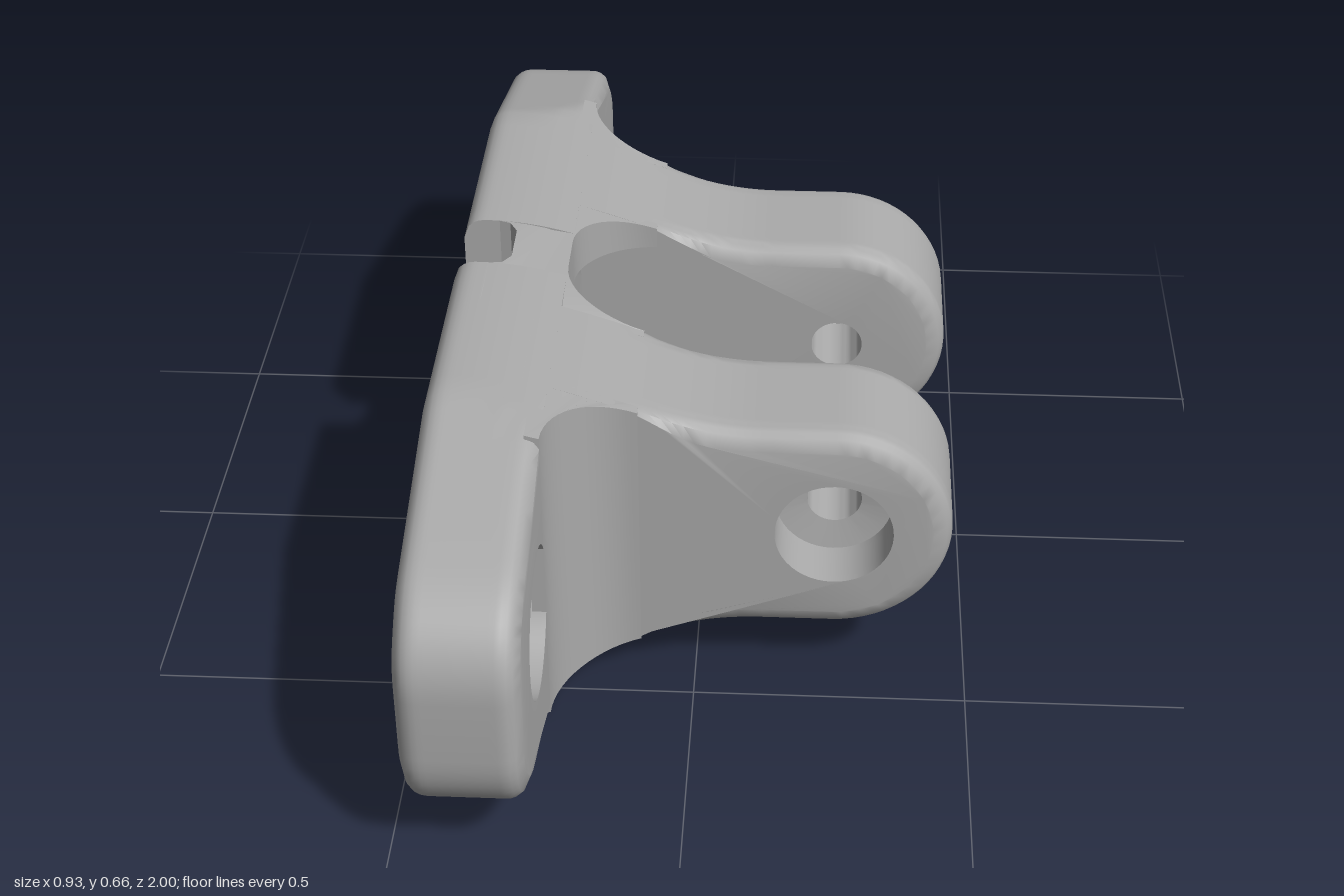
import * as THREE from 'three';
import { toCreasedNormals } from 'three/addons/utils/BufferGeometryUtils.js';

const MID = 0.33;            // height of the symmetry axis
const FRONT = -0.255;        // x of the plate's mounting face
const PLATE = 0.21;          // plate thickness
const ARM_IN = 0.18, ARM_OUT = 0.44;
const EYE = new THREE.Vector2(0.25, 0);     // pivot hole centre (x, y)
const SCREW = new THREE.Vector2(0.71, 0);   // screw hole centre (z, y)

const { smoothstep, lerp, clamp } = THREE.MathUtils;

// Half height of the body along x: tall at the plate, waisted towards the eye
const halfHeight = x =>
  0.213 + 0.117 * (1 + Math.cos(Math.PI * clamp((x + 0.42) / 0.54, 0, 1))) / 2;

// How far a rounded edge of radius r draws in at distance d from the face
const rounding = (d, r) => (d < r ? r - Math.sqrt(r * r - (r - d) ** 2) : 0);

// Extrude a shape in thin steps, then move every vertex by a rule
function sculpt(shape, depth, steps, rule) {
  const geo = new THREE.ExtrudeGeometry(shape, { depth, steps, bevelEnabled: false, curveSegments: 10 });
  const pos = geo.attributes.position;
  const p = new THREE.Vector3();
  for (let i = 0; i < pos.count; i++) {
    rule(p.fromBufferAttribute(pos, i));
    pos.setXYZ(i, p.x, p.y, p.z);
  }
  return geo;
}

function ring(center, radius, count = 48) {
  const pts = [];
  for (let i = 0; i < count; i++) {
    const a = (i / count) * Math.PI * 2;
    pts.push(new THREE.Vector2(center.x + radius * Math.cos(a), center.y + radius * Math.sin(a)));
  }
  return new THREE.Path(pts);
}

function setRadius(p, center, radius) {
  const a = Math.atan2(p.y - center.y, p.x - center.x);
  const r = typeof radius === 'function' ? radius(a) : radius;
  p.x = center.x + r * Math.cos(a);
  p.y = center.y + r * Math.sin(a);
}

// Radius of a hexagon with a corner pointing up
const hexRadius = a => {
  const sector = Math.PI / 3;
  const t = (((a - Math.PI / 2) % sector) + sector) % sector;
  return 0.115 * Math.cos(sector / 2) / Math.cos(t - sector / 2);
};

// Half of the mounting plate, with a notch for the window and a screw hole
function plateGeometry() {
  const upper = [];
  for (let i = 0; i <= 8; i++) upper.push(new THREE.Vector2(lerp(0.075, 0.5, i / 8), 0.33));
  for (let i = 1; i < 10; i++) upper.push(new THREE.Vector2(lerp(0.5, 0.84, i / 10), lerp(0.33, 0.24, i / 10)));
  const corner = new THREE.QuadraticBezierCurve(
    new THREE.Vector2(0.84, 0.24), new THREE.Vector2(1, 0.2), new THREE.Vector2(1, 0.06));
  upper.push(...corner.getPoints(12));
  const lower = upper.map(p => new THREE.Vector2(p.x, -p.y)).reverse();
  const shape = new THREE.Shape([...upper, ...lower]);
  // window notch
  shape.lineTo(0.075, -0.215);
  shape.lineTo(0.11, -0.215);
  shape.quadraticCurveTo(0.18, -0.215, 0.18, -0.145);
  shape.lineTo(0.18, 0.145);
  shape.quadraticCurveTo(0.18, 0.215, 0.11, 0.215);
  shape.lineTo(0.075, 0.215);
  shape.closePath();
  shape.holes.push(ring(SCREW, 0.135));

  const geo = sculpt(shape, PLATE, 21, p => {
    if (Math.hypot(p.x - SCREW.x, p.y) < 0.15) {
      setRadius(p, SCREW, p.z < 0.105 ? 0.135 : 0.063);   // counterbore, then through hole
      return;
    }
    const h = Math.abs(p.y);
    if (p.x < 0.2 && h < 0.22) return;
    // rounded rim; the front edge stays sharp where it meets the arm
    const inset = rounding(PLATE - p.z, 0.04) + rounding(p.z, 0.035) * smoothstep(p.x, 0.5, 0.68);
    const top = Math.min(h, halfHeight(FRONT - p.z));
    p.y = Math.sign(p.y) * (top - inset * smoothstep(h, 0.07, 0.22));
    p.x -= inset * smoothstep(p.x, 0.84, 1);
  });
  geo.rotateY(-Math.PI / 2);
  geo.translate(FRONT, 0, 0);
  return toCreasedNormals(geo, 0.6);
}

// Arm with a rounded eye; the outer recess is round or hexagonal
function armGeometry(recess) {
  const pts = [];
  for (let i = 0; i <= 22; i++) {
    const x = lerp(-0.3, 0.14, i / 22);
    pts.push(new THREE.Vector2(x, halfHeight(x)));
  }
  for (let i = 0; i <= 32; i++) {
    const a = Math.PI / 2 - (i / 32) * Math.PI;
    pts.push(new THREE.Vector2(EYE.x + 0.213 * Math.cos(a), 0.213 * Math.sin(a)));
  }
  for (let i = 22; i >= 0; i--) pts.push(new THREE.Vector2(pts[i].x, -pts[i].y));
  const shape = new THREE.Shape(pts);
  shape.holes.push(ring(EYE, 0.115));

  const width = ARM_OUT - ARM_IN;
  const geo = sculpt(shape, width, 26, p => {
    if (Math.hypot(p.x - EYE.x, p.y) < 0.13) {
      setRadius(p, EYE, p.z > width - 0.105 ? recess : 0.05);
      return;
    }
    const inset = rounding(Math.min(p.z, width - p.z), 0.035) * smoothstep(p.x, -0.14, 0.02);
    if (p.x > EYE.x) setRadius(p, EYE, 0.213 - inset);
    else p.y -= Math.sign(p.y) * inset;
  });
  geo.translate(0, 0, ARM_IN);
  return toCreasedNormals(geo, 0.6);
}

// Extrude a plan (x, z) upwards between two heights that depend on x
function standing(plan, bottom, top) {
  const geo = sculpt(new THREE.Shape(plan), 1, 1, p => {
    p.z = lerp(bottom(p.x), top(p.x), p.z);
  });
  geo.rotateX(-Math.PI / 2);
  return toCreasedNormals(geo, 0.5);
}

// Concave fillet between plate and outer arm face (plan v is -z)
function filletGeometry() {
  const plan = [];
  for (let i = 0; i <= 8; i++) plan.push(new THREE.Vector2(lerp(-0.28, -0.1, i / 8), -0.42));
  for (let i = 0; i <= 14; i++) {
    const a = (i / 14) * Math.PI / 2;
    plan.push(new THREE.Vector2(-0.1 - 0.155 * Math.sin(a), -(0.595 - 0.155 * Math.cos(a))));
  }
  plan.push(new THREE.Vector2(-0.28, -0.595));
  return standing(plan, x => -halfHeight(x), halfHeight);
}

// Strip joining both halves across the window, with a U-shaped front
function bridgeGeometry() {
  const side = [];
  for (let i = 0; i <= 12; i++) {
    const a = (i / 12) * Math.PI / 2;
    side.push(new THREE.Vector2(-0.105 - 0.15 * Math.sin(a), 0.18 - 0.135 * (1 - Math.cos(a))));
  }
  side.unshift(new THREE.Vector2(-0.105, 0.2));
  const mirrored = side.map(p => new THREE.Vector2(p.x, -p.y)).reverse();
  const back = [[-0.25, -0.2], [-0.4, -0.2], [-0.4, -0.076], [-0.375, -0.07], [-0.36, -0.045],
    [-0.36, 0.045], [-0.375, 0.07], [-0.4, 0.076], [-0.4, 0.2], [-0.25, 0.2]];
  const plan = [...side, ...mirrored, ...back.map(([x, v]) => new THREE.Vector2(x, v))];
  return standing(plan, () => 0.215, halfHeight);
}

export function createModel() {
  const grey = new THREE.MeshStandardMaterial({ color: 0xaaaaaa });
  grey.name = 'plain grey';
  const model = new THREE.Group();
  model.name = 'clevisBracket';

  const add = (parent, name, geometry) => {
    const mesh = new THREE.Mesh(geometry, grey);
    mesh.name = name;
    parent.add(mesh);
  };

  const plate = plateGeometry(), fillet = filletGeometry(), bridge = bridgeGeometry();
  // the second half is the first one turned about the x axis
  [['front', 0.107, 0], ['back', hexRadius, Math.PI]].forEach(([name, recess, turn]) => {
    const half = new THREE.Group();
    half.name = name + 'Half';
    half.position.y = MID;
    half.rotation.x = turn;
    add(half, name + 'Plate', plate);
    add(half, name + 'Arm', armGeometry(recess));
    add(half, name + 'Fillet', fillet);
    add(half, turn ? 'lowerBridge' : 'upperBridge', bridge);
    model.add(half);
  });
  return model;
}
